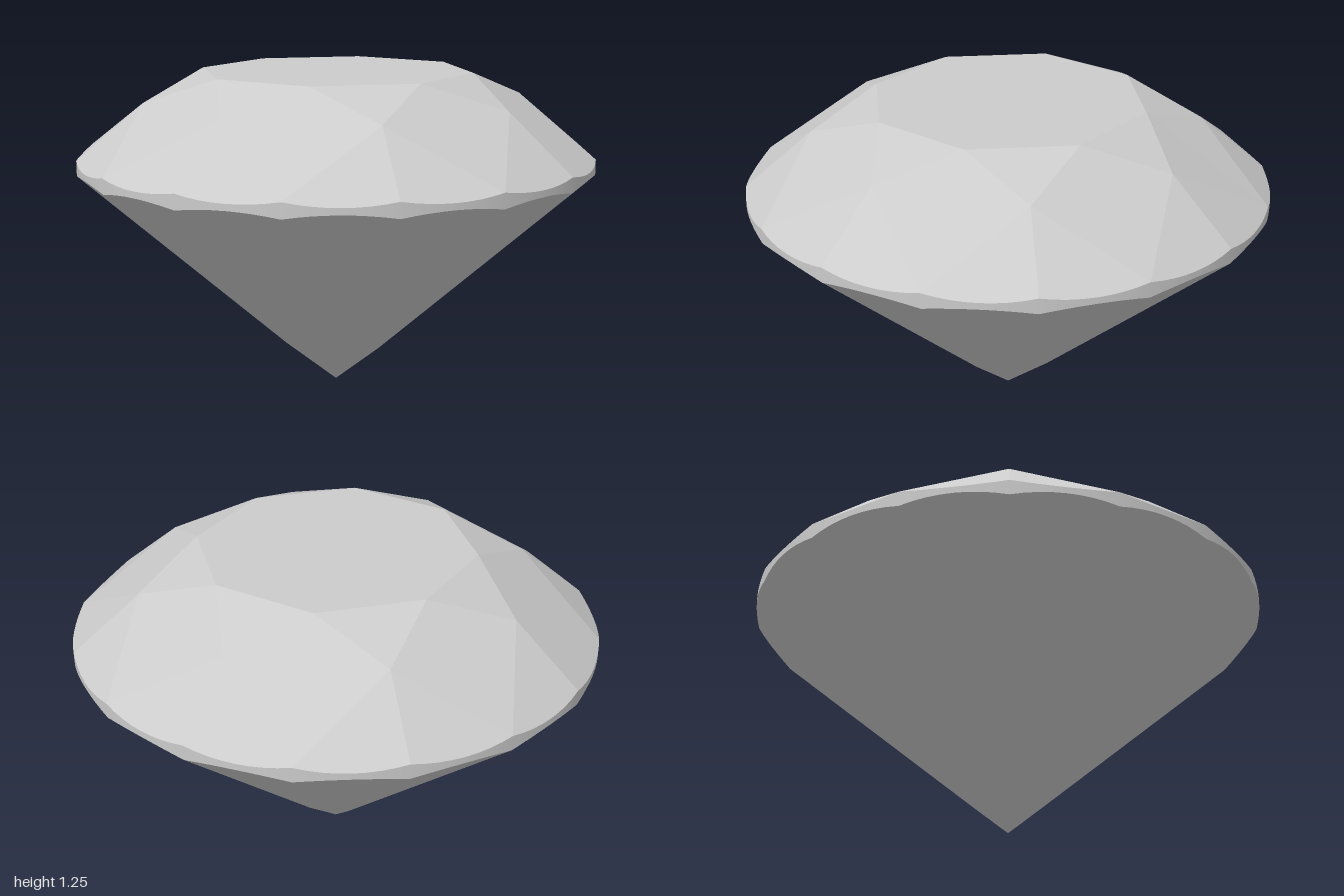
import * as THREE from 'three';

const STEP = Math.PI / 8;   // half of one of the eight sectors
const ARC = 8;              // girdle segments per half sector
const TABLE_Y = 1.245, GIRDLE_TOP = 0.925, GIRDLE_BOTTOM = 0.867;
const CENTRE = new THREE.Vector3(0, 0.9, 0);

const polar = (angle, r, y) => new THREE.Vector3(r * Math.cos(angle), y, r * Math.sin(angle));

// Height on the unit cylinder where the plane through a, b, c cuts it
function cutArc(a, b, c, from, to) {
  const n = new THREE.Plane().setFromCoplanarPoints(a, b, c);
  return Array.from({ length: ARC + 1 }, (_, i) => {
    const p = polar(from + (to - from) * i / ARC, 1, 0);
    p.y = -(n.normal.x * p.x + n.normal.z * p.z + n.constant) / n.normal.y;
    return p;
  });
}

// Adds a flat convex facet as a fan, wound to face away from the centre
function addFacet(out, points) {
  for (let i = 1; i < points.length - 1; i++) {
    const [a, b, c] = [points[0], points[i], points[i + 1]];
    const n = b.clone().sub(a).cross(c.clone().sub(a));
    const outward = n.dot(a.clone().sub(CENTRE)) > 0;
    for (const p of outward ? [a, b, c] : [a, c, b]) out.push(p.x, p.y, p.z);
  }
}

export function createModel() {
  const group = new THREE.Group();
  group.name = 'cutGem';
  const parts = { table: [], starFacets: [], bezelFacets: [], upperGirdleFacets: [],
    girdle: [], lowerGirdleFacets: [], pavilionFacets: [] };

  const tablePoint = a => polar(a, 0.53, TABLE_Y);
  const starPoint = a => polar(a, 0.745, 1.138);
  const lowerPoint = a => polar(a, 0.2, 0.16);
  const culet = new THREE.Vector3(0, 0, 0);
  const rim = [];

  for (let k = 0; k < 8; k++) {
    const a = k * 2 * STEP;             // star axis
    const m = a + STEP, next = a + 2 * STEP; // kite axis, next star axis
    rim.push(tablePoint(m));

    // Star triangle and the two kites
    addFacet(parts.starFacets, [tablePoint(a - STEP), starPoint(a), tablePoint(m)]);
    addFacet(parts.bezelFacets, [tablePoint(m), starPoint(a), polar(m, 1, GIRDLE_TOP), starPoint(next)]);
    addFacet(parts.pavilionFacets, [culet, lowerPoint(a), polar(m, 1, GIRDLE_BOTTOM), lowerPoint(next)]);

    // Paired half facets either side of the star axis, with the scalloped girdle between
    for (const side of [-1, 1]) {
      const b = a + side * STEP;
      const top = cutArc(starPoint(a), polar(a, 1, GIRDLE_TOP), polar(b, 1, GIRDLE_TOP), a, b);
      const bottom = cutArc(lowerPoint(a), polar(a, 1, GIRDLE_BOTTOM), polar(b, 1, GIRDLE_BOTTOM), a, b);
      addFacet(parts.upperGirdleFacets, [starPoint(a), ...top]);
      addFacet(parts.lowerGirdleFacets, [lowerPoint(a), ...bottom]);
      for (let i = 0; i < ARC; i++) {
        addFacet(parts.girdle, [top[i], top[i + 1], bottom[i + 1], bottom[i]]);
      }
    }
  }
  addFacet(parts.table, rim);

  const material = new THREE.MeshStandardMaterial({ color: 0xcccccc });
  for (const [name, positions] of Object.entries(parts)) {
    const geometry = new THREE.BufferGeometry();
    geometry.setAttribute('position', new THREE.Float32BufferAttribute(positions, 3));
    geometry.computeVertexNormals();
    // The girdle is a smooth round band
    if (name === 'girdle') {
      const p = geometry.attributes.position, n = geometry.attributes.normal;
      for (let i = 0; i < p.count; i++) n.setXYZ(i, p.getX(i), 0, p.getZ(i));
    }
    const mesh = new THREE.Mesh(geometry, material);
    mesh.name = name;
    group.add(mesh);
  }
  return group;
}
